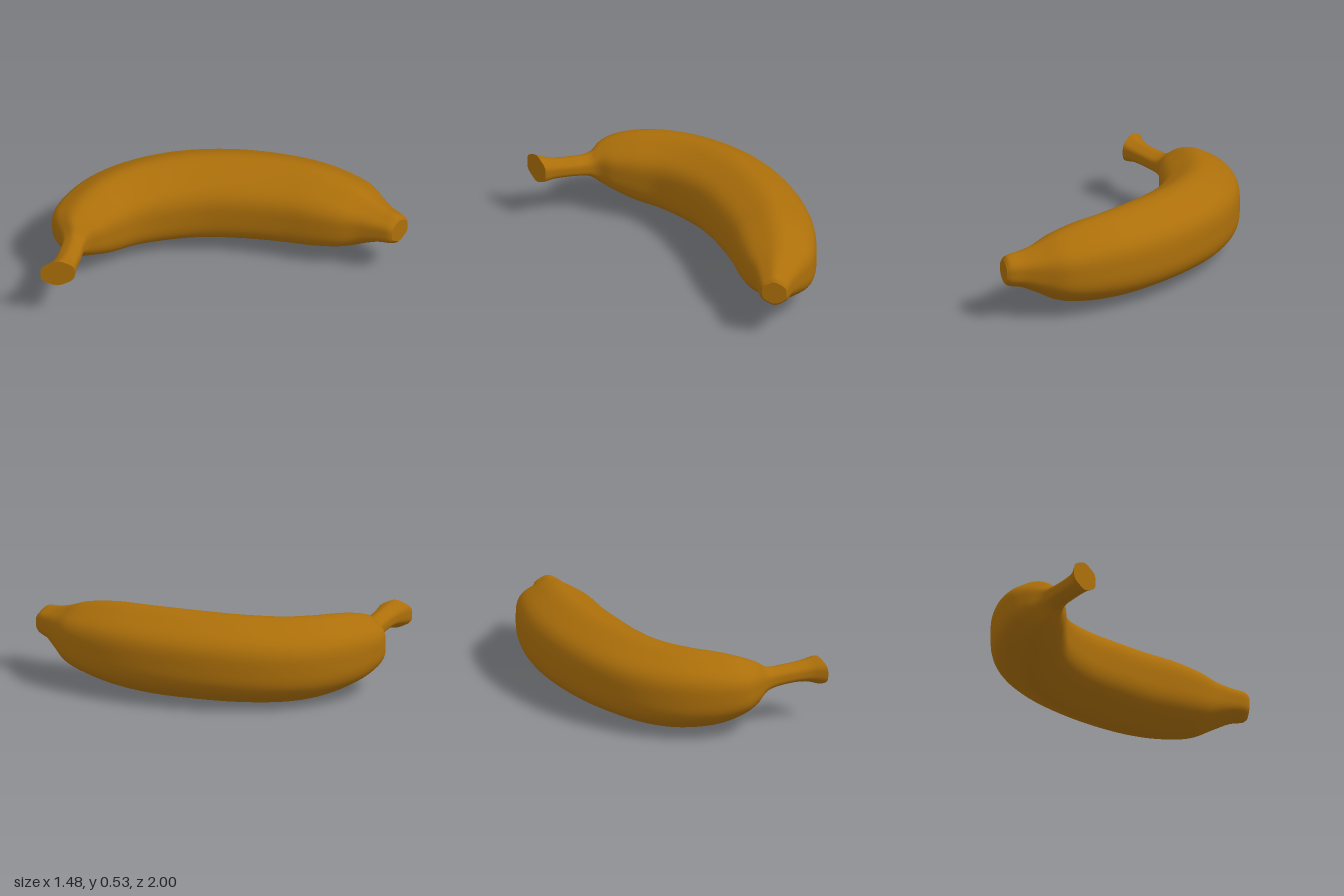
import * as THREE from 'three';

// Stations from stem to tip: outer x, outer z, inner x, inner z, bottom y, top y
const STATIONS = [
  [-0.23, 1.0, -0.11, 0.84, 0.215, 0.385],
  [-0.25, 0.9, -0.155, 0.79, 0.235, 0.365],
  [-0.325, 0.785, -0.23, 0.695, 0.235, 0.355],
  [-0.41, 0.695, -0.285, 0.63, 0.215, 0.36],
  [-0.52, 0.66, -0.303, 0.585, 0.16, 0.405],
  [-0.61, 0.61, -0.293, 0.5, 0.11, 0.44],
  [-0.69, 0.46, -0.29, 0.38, 0.05, 0.475],
  [-0.735, 0.24, -0.28, 0.22, 0.015, 0.495],
  [-0.715, 0, -0.23, 0.08, 0, 0.505],
  [-0.613, -0.265, -0.12, -0.1, 0, 0.52],
  [-0.42, -0.535, 0.03, -0.26, 0.005, 0.53],
  [-0.155, -0.775, 0.21, -0.42, 0.012, 0.53],
  [0.1, -0.925, 0.365, -0.53, 0.032, 0.518],
  [0.34, -1, 0.485, -0.625, 0.075, 0.48],
  [0.5, -0.985, 0.57, -0.71, 0.14, 0.43],
  [0.6, -0.975, 0.655, -0.77, 0.185, 0.402],
  [0.685, -0.98, 0.725, -0.815, 0.205, 0.388],
  [0.71, -0.975, 0.74, -0.835, 0.225, 0.365],
];
const RINGS = 102;
const SIDES = 60;

// Softly six-sided section with ridges above and below, scaled to fill -1..1 both ways
function makeSection() {
  const pts = [];
  for (let j = 0; j < SIDES; j++) {
    const a = (j / SIDES) * Math.PI * 2;
    const r = 1 - 0.028 * Math.cos(6 * a);
    pts.push(new THREE.Vector2(Math.cos(a) * r, Math.sin(a) * r));
  }
  const half = new THREE.Box2().setFromPoints(pts).max;
  return pts.map((p) => p.clone().divide(half));
}

function makeRings() {
  // One rail runs along the outer bottom, the other along the inner top
  const outer = new THREE.CatmullRomCurve3(STATIONS.map((s) => new THREE.Vector3(s[0], s[4], s[1])));
  const inner = new THREE.CatmullRomCurve3(STATIONS.map((s) => new THREE.Vector3(s[2], s[5], s[3])));
  const section = makeSection();
  const rings = [];
  for (let i = 0; i <= RINGS; i++) {
    const o = outer.getPoint(i / RINGS);
    const n = inner.getPoint(i / RINGS);
    rings.push(section.map((p) => new THREE.Vector3(
      THREE.MathUtils.lerp(o.x, n.x, (p.x + 1) / 2),
      THREE.MathUtils.lerp(o.y, n.y, (p.y + 1) / 2),
      THREE.MathUtils.lerp(o.z, n.z, (p.x + 1) / 2),
    )));
  }
  return rings;
}

function buildGeometry(points, index) {
  const geometry = new THREE.BufferGeometry().setFromPoints(points);
  geometry.setIndex(index);
  geometry.computeVertexNormals();
  return geometry;
}

function skinGeometry(rings) {
  const index = [];
  for (let i = 0; i < RINGS; i++) {
    for (let j = 0; j < SIDES; j++) {
      const k = (j + 1) % SIDES;
      const a = i * SIDES + j, b = i * SIDES + k;
      const c = a + SIDES, d = b + SIDES;
      index.push(a, c, b, b, c, d);
    }
  }
  return buildGeometry(rings.flat(), index);
}

function capGeometry(ring, reversed) {
  const center = ring.reduce((sum, p) => sum.add(p), new THREE.Vector3()).divideScalar(SIDES);
  const index = [];
  for (let j = 0; j < SIDES; j++) {
    const k = (j + 1) % SIDES;
    if (reversed) index.push(SIDES, k, j);
    else index.push(SIDES, j, k);
  }
  return buildGeometry([...ring, center], index);
}

export function createModel() {
  const group = new THREE.Group();
  group.name = 'banana';
  const material = new THREE.MeshStandardMaterial({ color: 0xac6f0a });
  const add = (name, geometry) => {
    const mesh = new THREE.Mesh(geometry, material);
    mesh.name = name;
    group.add(mesh);
  };

  const rings = makeRings();
  add('peel', skinGeometry(rings));
  // Flat cut faces with crisp edges
  add('stemEnd', capGeometry(rings[0], false));
  add('tipEnd', capGeometry(rings[RINGS], true));
  return group;
}
